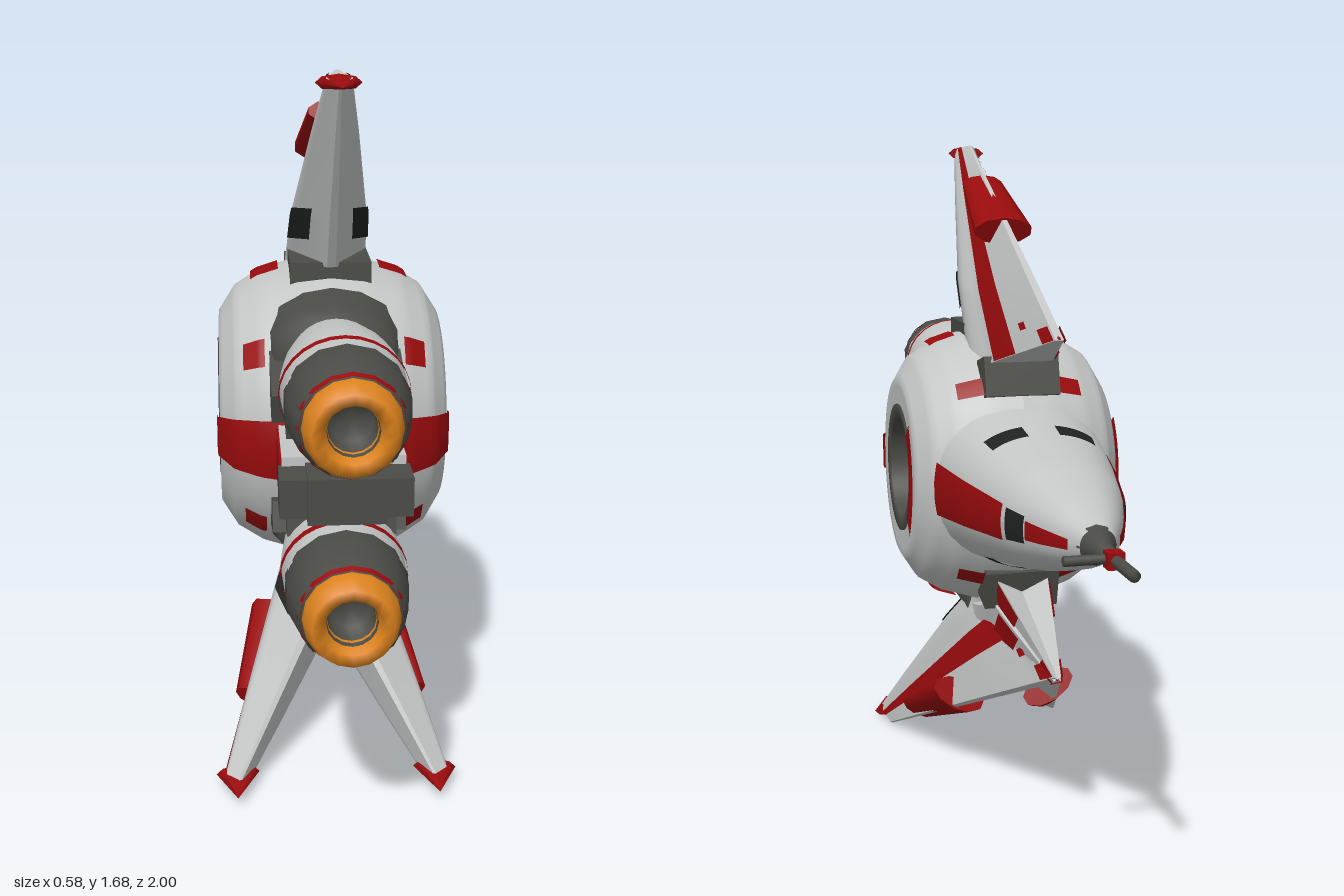
import * as THREE from 'three';

const CY = 0.84, HZ = 0.17; // height of the long axis, z of the ring hub
const mat = (name, color) => new THREE.MeshStandardMaterial({ name, color, side: THREE.DoubleSide });
const lerp = THREE.MathUtils.lerp;

// piecewise linear lookup: rows of [key, a, b...]
function look(rows, k, col = 1) {
  let i = 0;
  while (i < rows.length - 2 && k > rows[i + 1][0]) i++;
  const [p, q] = [rows[i], rows[i + 1]];
  return lerp(p[col], q[col], THREE.MathUtils.clamp((k - p[0]) / (q[0] - p[0]), 0, 1));
}

// surface from fn(u, v) => [x, y, z]
function grid(nu, nv, fn) {
  const pos = [], idx = [];
  for (let i = 0; i <= nu; i++) for (let j = 0; j <= nv; j++) pos.push(...fn(i / nu, j / nv));
  for (let i = 0; i < nu; i++) for (let j = 0; j < nv; j++) {
    const a = i * (nv + 1) + j, b = a + nv + 1;
    idx.push(a, b, a + 1, b, b + 1, a + 1);
  }
  const g = new THREE.BufferGeometry();
  g.setAttribute('position', new THREE.Float32BufferAttribute(pos, 3));
  g.setIndex(idx);
  g.computeVertexNormals();
  return g;
}

export function createModel() {
  const root = new THREE.Group();
  const hull = mat('hull white', 0xc4c6c6), red = mat('marking red', 0x980b0d), dark = mat('machinery grey', 0x4b4c47);
  const orange = mat('exhaust orange', 0xdc821c), black = mat('vent black', 0x202121);

  const add = (name, geo, m, parent = root, x = 0, y = 0, z = 0) => {
    const o = new THREE.Mesh(geo, m);
    o.name = name;
    o.position.set(x, y, z);
    parent.add(o);
    return o;
  };
  const box = (name, m, w, h, d, x, y, z) => add(name, new THREE.BoxGeometry(w, h, d), m, root, x, y, z);
  // turned shape along z from [radius, z] points
  const turned = (pts, seg = 28) =>
    new THREE.LatheGeometry(pts.map(p => new THREE.Vector2(...p)), seg).rotateX(Math.PI / 2);

  // ---- ring hub, turned about x ----
  const hubProfile = [[0, 0.165, 0.262], [0.2, 0.235, 0.264], [0.45, 0.297, 0.225], [0.65, 0.334, 0.165], [0.85, 0.36, 0.08], [1, 0.368, 0]];
  const hubPoint = (side, a, u, k = 0) => {
    const r = look(hubProfile, u) + k * u;
    return [side * (look(hubProfile, u, 2) + k), CY + r * Math.sin(a), HZ + r * Math.cos(a)];
  };
  const hubPatch = (name, m, side, a0, a1, u0, u1) =>
    add(name, grid(12, 12, (p, q) => hubPoint(side, lerp(a0, a1, p), lerp(u0, u1, q), 0.007)), m);
  for (const side of [1, -1]) {
    add('hub', grid(40, 20, (p, q) => hubPoint(side, p * Math.PI * 2, q)), hull);
    hubPatch('hubFrontArc', red, side, Math.PI - 0.66, Math.PI + 0.66, 0.02, 0.2);
    hubPatch('hubRearBand', red, side, -0.2, 0.2, 0.1, 0.78);
    for (const s of [1, -1]) {
      hubPatch('hubMark', red, side, s * 1.44, s * 1.7, 0.6, 0.77);
      hubPatch('hubShoulderMark', red, side, s * 2.32, s * 2.46, 0.68, 0.85);
      hubPatch('hubEngineMark', red, side, s * 0.56, s * 0.76, 0.53, 0.68);
    }
  }
  const ring = [[0.13, -0.262], [0.13, 0.262], [0.168, 0.267], [0.17, 0.25], [0.17, -0.25], [0.168, -0.267], [0.13, -0.262]];
  add('hubRing', turned(ring, 40).rotateY(Math.PI / 2), dark, root, 0, CY, HZ);

  // ---- nose, lofted along z ----
  const noseRows = [[-0.76, 0.04, 0.038], [-0.65, 0.09, 0.08], [-0.5, 0.143, 0.124], [-0.3, 0.19, 0.164], [-0.1, 0.226, 0.203], [-0.01, 0.232, 0.215]];
  const nosePoint = (a, z, k = 0) => {
    const f = c => Math.sign(c) * Math.abs(c) ** 0.87;
    return [(look(noseRows, z) + k) * f(Math.cos(a)), CY + (look(noseRows, z, 2) + k) * f(Math.sin(a)), z];
  };
  add('nose', grid(32, 25, (p, q) => nosePoint(p * Math.PI * 2, lerp(-0.76, -0.01, q))), hull);
  const nosePatch = (name, m, a0, a1, z0, z1) =>
    add(name, grid(8, 12, (p, q) => nosePoint(lerp(a0, a1, p), lerp(z0, z1, q), 0.005)), m);
  for (const c of [0, Math.PI]) {
    nosePatch('noseStripe', red, c - 0.28, c + 0.28, -0.5, -0.09);
    nosePatch('noseTipStripe', red, c - 0.17, c + 0.17, -0.73, -0.59);
    nosePatch('noseSideVent', black, c - 0.25, c + 0.25, -0.585, -0.515);
  }
  for (const s of [1, -1]) for (const [a, b] of [[0.89, 1.41], [1.73, 2.25]])
    nosePatch('noseVent', black, s * a, s * b, -0.33, -0.27);

  // nose mount and probes
  add('noseCap', turned([[0, -0.84], [0.018, -0.84], [0.022, -0.8], [0.045, -0.75], [0.04, -0.72]], 12), dark, root, 0, CY, 0);
  add('probe', turned([[0, -1], [0.013, -1], [0.013, -0.8]], 10), dark, root, 0, CY, 0);
  add('sideProbe', new THREE.CylinderGeometry(0.011, 0.011, 0.11, 10).rotateZ(Math.PI / 2), dark, root, 0.05, CY, -0.86);
  box('probeJoint', red, 0.036, 0.036, 0.036, 0, CY, -0.87);

  // ---- engines ----
  for (const s of [1, -1]) {
    const e = new THREE.Group();
    e.name = 'engine';
    e.position.set(0, CY + s * 0.203, 0);
    root.add(e);
    const body = add('engineBody', turned([[0.07, 0.36], [0.09, 0.46], [0.113, 0.58], [0.123, 0.68], [0.119, 0.8]]), hull, e);
    const stripe = add('engineStripe', turned([[0.126, 0.73], [0.125, 0.752]]), red, e);
    body.scale.x = stripe.scale.x = 1.1;
    const collar = add('engineCollar', turned([[0.128, 0.28], [0.128, 0.35], [0.11, 0.42], [0.1, 0.47], [0.07, 0.48]], 16), dark, e);
    collar.scale.x = 1.38;
    const nozzle = add('nozzle', turned([[0.118, 0.785], [0.125, 0.79], [0.122, 0.86], [0.104, 0.948], [0.085, 0.948]], 14), dark, e);
    nozzle.scale.x = 1.06;
    add('nozzleBand', turned([[0.111, 0.938], [0.106, 0.95]], 16), red, e);
    add('exhaustRing', turned([[0.102, 0.943], [0.099, 0.965], [0.084, 1], [0.06, 0.995], [0.05, 0.95]], 16), orange, e);
    add('exhaustThroat', turned([[0.053, 0.97], [0.045, 0.9], [0, 0.9]], 16), dark, e);
    // slanted supports between engine and centre block
    const strut = box('engineStrut', dark, 0.24, 0.06, 0.24, 0, CY + s * 0.13, 0.55);
    strut.rotation.x = s * 0.16;
    for (const x of [1, -1]) {
      const fin = box('engineFin', dark, 0.03, 0.07, 0.2, x * 0.134, CY + s * 0.155, 0.5);
      fin.rotation.x = s * 0.3;
    }
  }

  // ---- centre block between the engines ----
  box('centreBlock', hull, 0.264, 0.125, 0.35, 0, CY, 0.55);
  for (const x of [1, -1]) {
    box('centreBlockStripe', red, 0.008, 0.108, 0.3, x * 0.133, CY, 0.57);
    box('centreSideVent', dark, 0.06, 0.085, 0.09, x * 0.11, CY, 0.765);
  }
  box('centreVent', dark, 0.165, 0.1, 0.12, 0, CY, 0.77);

  // ---- wings, built pointing up with the front corner at local y = 0 ----
  const rootRows = [[0, -0.456, 0], [0.45, -0.1, -0.095], [1, 0.31, -0.025]];
  const tipRows = [[0, 0.472, 0.44], [1, 0.59, 0.425]];
  const spanWidth = [[0, 0.1], [0.3, 0.09], [0.75, 0.052], [1, 0.028]];
  const chordWidth = [[0, 0.1], [0.3, 0.58], [0.5, 0.88], [0.62, 1], [0.72, 0.97], [0.88, 0.48], [1, 0.1]];

  function wing(y, angle, tilt, stretch) {
    const w = new THREE.Group();
    w.name = 'wing';
    w.position.y = y;
    w.rotation.z = angle + tilt;
    w.scale.y = stretch;
    root.add(w);
    // the root below the front corner stays upright when the wing is tilted
    const upright = stretch * Math.tan(tilt);
    const point = (x, s, t, k = 0) => {
      const py = lerp(look(rootRows, t, 2), look(tipRows, t, 2), s);
      return [
        x * (look(spanWidth, s) * look(chordWidth, t) + k) + upright * Math.min(py, 0),
        py, lerp(look(rootRows, t), look(tipRows, t), s)];
    };
    for (const x of [1, -1]) {
      add('wingSkin', grid(30, 25, (s, t) => point(x, s, t)), hull, w);
      const patch = (name, m, s0, s1, t0, t1) =>
        add(name, grid(30, 8, (p, q) => point(x, lerp(s0, s1, p), lerp(t0, t1, q), 0.005)), m, w);
      patch('wingStripe', red, 0, 1, 0.245, 0.4);
      patch('wingCornerMark', red, 0, 0.06, 0, 0.07);
      patch('wingSmallMark', red, 0.08, 0.11, 0.13, 0.17);
      patch('wingVent', black, 0.16, 0.34, 0.71, 0.88);
    }
    for (const s of [0, 1]) add('wingEnd', grid(2, 25, (p, t) => point(p * 2 - 1, s, t)), hull, w);
    for (const t of [0, 1]) add('wingEdge', grid(2, 20, (p, s) => point(p * 2 - 1, s, t)), hull, w);

    // raised pad on the leading edge
    const pad = add('leadingEdgePad', new THREE.CylinderGeometry(0.055, 0.077, 0.27, 10), red, w, 0, 0.278, 0.203);
    pad.scale.z = 0.48;
    pad.rotation.x = Math.atan2(0.928, 0.44);
    // level pointed wing tip, and front corner
    const tip = add('wingTip', new THREE.ConeGeometry(0.05, 0.11, 8).rotateX(Math.PI / 2), red, w, 0, 0.419, 0.585);
    tip.scale.y = 0.36;
    tip.rotation.z = -tilt;
    const corner = add('wingCorner', new THREE.ConeGeometry(0.024, 0.06, 8).rotateX(-Math.PI / 2), red, w, 0, 0.002, -0.43);
    corner.scale.y = 0.7;
  }
  wing(CY + 0.4, 0, 0, 1);
  for (const tilt of [0.52, -0.52]) wing(CY - 0.4, Math.PI, tilt, 1.14);

  // dark mounts joining the wings to the hub
  for (const s of [1, -1]) {
    box('wingMount', dark, 0.19, 0.09, 0.19, 0, CY + s * 0.338, 0.2);
    const front = box('wingFrontMount', dark, 0.19, 0.1, 0.085, 0, CY + s * 0.265, -0.078);
    front.rotation.x = s * 0.25;
  }

  return root;
}
